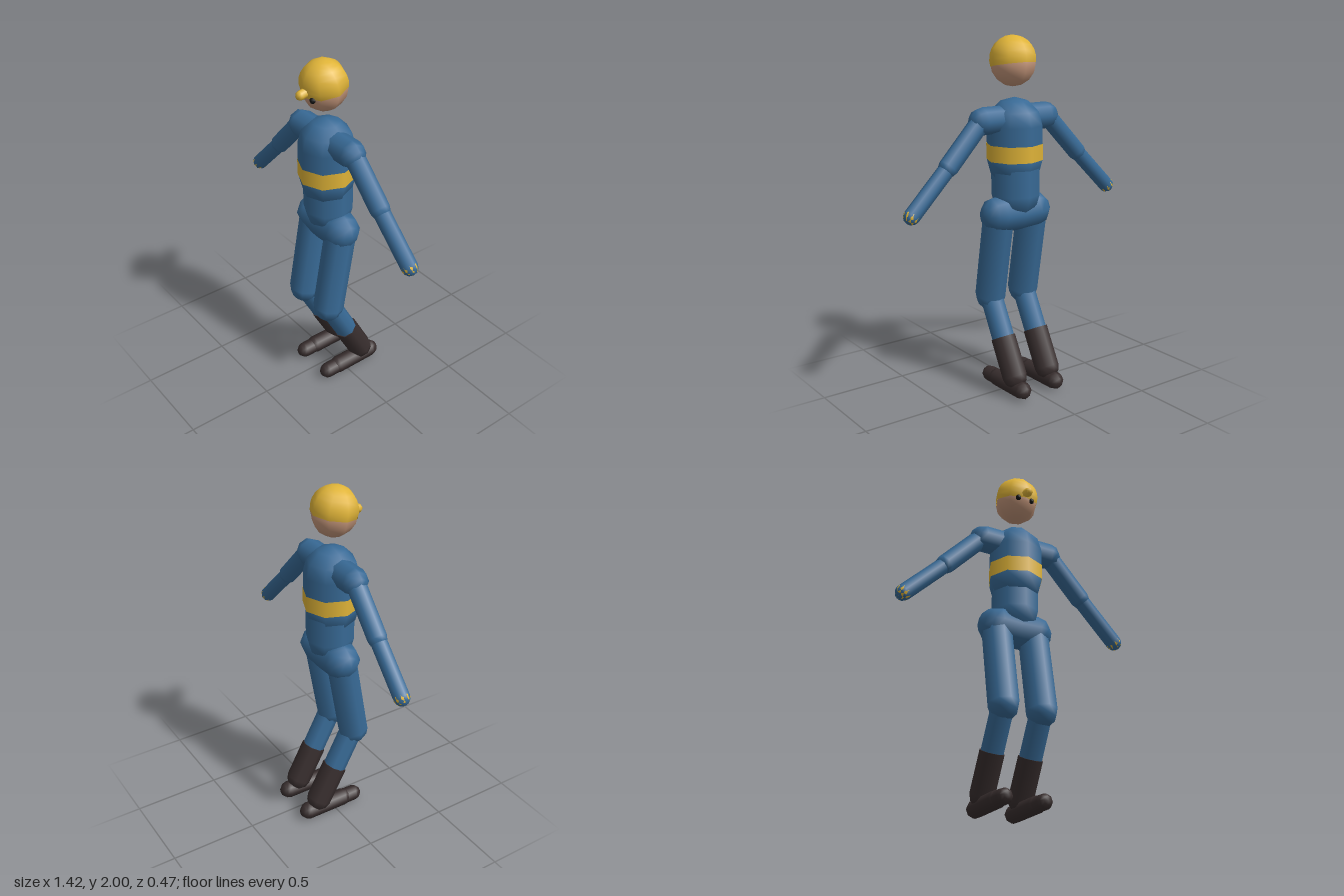
import * as THREE from 'three';

const mat = (name, color) => {
  const m = new THREE.MeshStandardMaterial({ color });
  m.name = name;
  return m;
};

export function createModel() {
  const blue = mat('suit blue', 0x386a96);
  const yellow = mat('yellow', 0xe0b438);
  const dark = mat('boot brown', 0x382e2e);
  const skin = mat('skin', 0xc4967a);
  const black = mat('eye black', 0x141414);
  const model = new THREE.Group();
  model.name = 'figure';
  const up = new THREE.Vector3(0, 1, 0);

  const add = (parent, name, geometry, material, x, y, z) => {
    const mesh = new THREE.Mesh(geometry, material);
    mesh.name = name;
    mesh.position.set(x, y, z);
    parent.add(mesh);
    return mesh;
  };
  // Capsule whose end spheres are centred on points a and b
  const limb = (parent, name, material, r, a, b) => {
    const p = new THREE.Vector3(...a), q = new THREE.Vector3(...b);
    const d = q.clone().sub(p), mid = p.clone().add(q).multiplyScalar(0.5);
    const geo = new THREE.CapsuleGeometry(r, d.length(), 3, 8, 1);
    const mesh = add(parent, name, geo, material, mid.x, mid.y, mid.z);
    mesh.quaternion.setFromUnitVectors(up, d.normalize());
    return mesh;
  };

  // Torso and its stripe
  limb(model, 'chest', blue, 0.155, [0, 1.32, 0.048], [0, 1.515, 0.048]);
  limb(model, 'waist', blue, 0.136, [0, 1.13, 0.04], [0, 1.3, 0.04]);
  const band = mat('stripe yellow', 0xe0b438);
  band.side = THREE.DoubleSide;
  add(model, 'chestStripe', new THREE.CylinderGeometry(0.158, 0.158, 0.09, 8, 1, true), band, 0, 1.37, 0.048);

  // Head with a tilted cap, a short peak and eyes
  const head = new THREE.Group();
  head.name = 'head';
  model.add(head);
  add(head, 'face', new THREE.SphereGeometry(0.125, 8, 8), skin, 0, 1.85, 0.062);
  const cap = add(head, 'cap', new THREE.SphereGeometry(0.129, 8, 7, 0, Math.PI * 2, 0, 1.8), band, 0, 1.872, 0.064);
  cap.rotation.x = 0.17;
  limb(head, 'capPeak', yellow, 0.026, [0, 1.86, 0.14], [0, 1.844, 0.209]);

  for (const s of [1, -1]) {
    const side = s > 0 ? 'left' : 'right';
    add(head, side + 'Eye', new THREE.SphereGeometry(0.017, 8, 6), black, s * 0.042, 1.819, 0.164);

    // Arm
    const arm = new THREE.Group();
    arm.name = side + 'Arm';
    model.add(arm);
    limb(arm, 'shoulder', blue, 0.076, [s * 0.05, 1.553, 0.05], [s * 0.212, 1.553, 0.05]);
    limb(arm, 'upperArm', blue, 0.055, [s * 0.22, 1.555, 0.048], [s * 0.435, 1.33, 0.042]);
    limb(arm, 'forearm', blue, 0.046, [s * 0.435, 1.33, 0.042], [s * 0.668, 1.1, 0.035]);
    const hand = add(arm, 'hand', new THREE.SphereGeometry(0.045, 8, 6), yellow, s * 0.668, 1.1, 0.035);
    hand.rotation.set(0, Math.PI / 8, s * 0.78);

    // Leg
    const leg = new THREE.Group();
    leg.name = side + 'Leg';
    model.add(leg);
    const x = s * 0.115;
    limb(leg, 'hip', blue, 0.105, [0, 1.025, 0.04], [x, 1.03, 0.04]);
    limb(leg, 'thigh', blue, 0.087, [x, 1.0, 0.045], [x, 0.54, 0.127]);
    limb(leg, 'shin', blue, 0.065, [x, 0.54, 0.122], [x, 0.2, -0.06]);

    // Boot shaft with a square top, rounded at the heel
    const top = new THREE.Vector3(x, 0.318, 0.002), heel = new THREE.Vector3(x, 0.115, -0.108);
    const axis = top.clone().sub(heel);
    const mid = top.clone().add(heel).multiplyScalar(0.5);
    const shaft = add(leg, 'bootShaft', new THREE.CylinderGeometry(0.071, 0.071, axis.length(), 8), dark, mid.x, mid.y, mid.z);
    shaft.quaternion.setFromUnitVectors(up, axis.normalize());
    const ankle = add(leg, 'bootAnkle', new THREE.SphereGeometry(0.071, 8, 6), dark, heel.x, heel.y, heel.z);
    ankle.quaternion.copy(shaft.quaternion);
    limb(leg, 'foot', dark, 0.05, [x, 0.056, -0.183], [x, 0.053, 0.06]);
    limb(leg, 'toe', dark, 0.045, [x, 0.052, 0.04], [x, 0.05, 0.137]);
  }
  return model;
}
